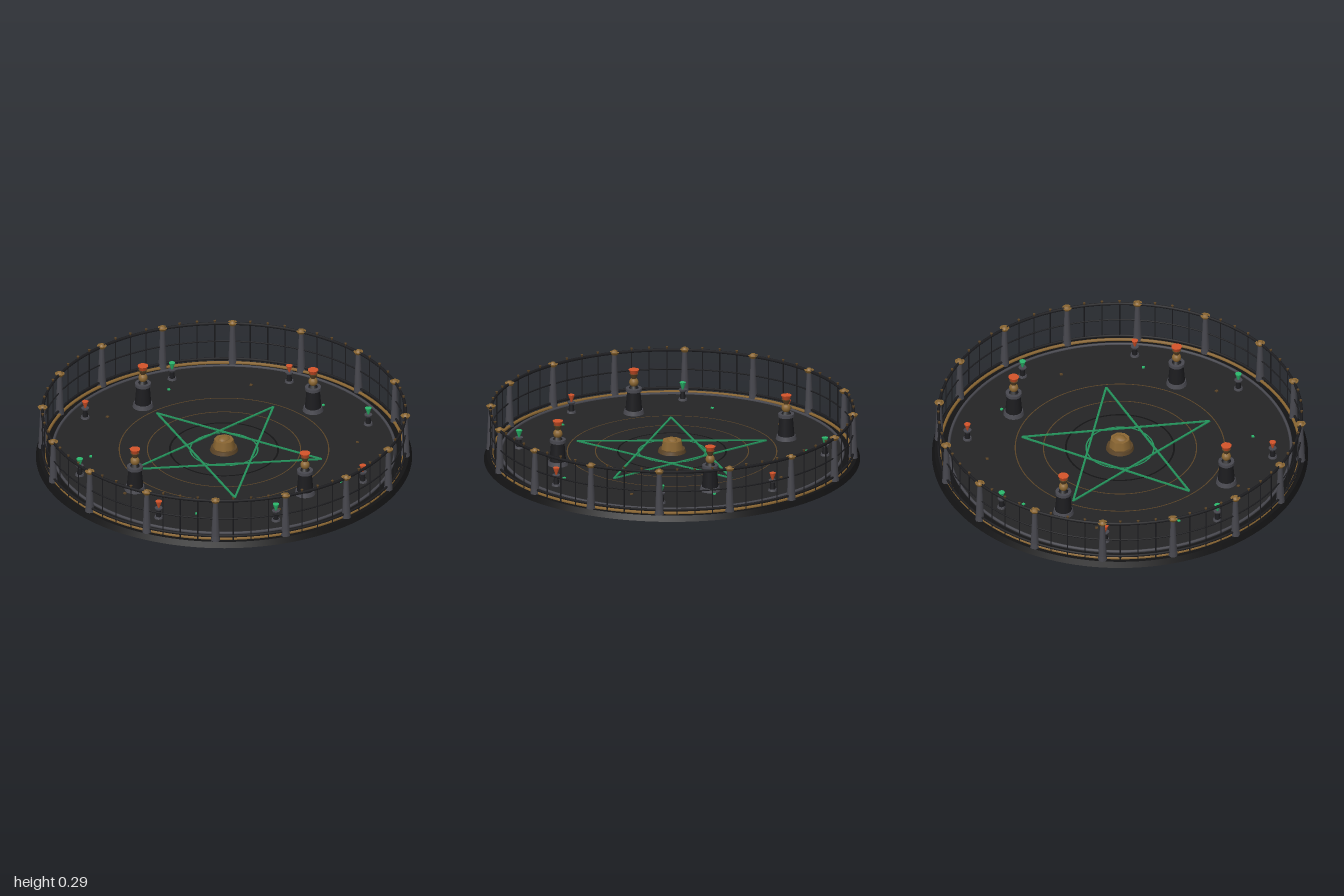
import * as THREE from 'three';

const mat = (name, color) => {
  const m = new THREE.MeshStandardMaterial({ color });
  m.name = name;
  return m;
};

export function createModel() {
  const black = mat('black stone', 0x131314);
  const stone = mat('dark floor', 0x242425);
  const iron = mat('wrought iron', 0x1c1c1f);
  const steel = mat('grey steel', 0x48484f);
  const brass = mat('aged brass', 0x8a6632);
  const bronze = mat('dull bronze', 0x5a4326);
  const orange = mat('orange fire', 0xd4532a);
  const green = mat('green inlay', 0x23905a);
  const glow = mat('green fire', 0x2bb86c);

  const FLOOR = 0.04, RAIL = 0.965;
  const root = new THREE.Group();
  root.name = 'ritualPlatform';

  const add = (parent, name, geo, material, x = 0, y = 0, z = 0) => {
    const m = new THREE.Mesh(geo, material);
    m.name = name;
    m.position.set(x, y, z);
    parent.add(m);
    return m;
  };
  // Cylinder given by its bottom and top heights
  const drum = (parent, name, rTop, rBottom, y0, y1, sides, material) =>
    add(parent, name, new THREE.CylinderGeometry(rTop, rBottom, y1 - y0, sides), material, 0, (y0 + y1) / 2, 0);
  const hoop = (name, r, tube, y, material) => {
    const m = add(root, name, new THREE.TorusGeometry(r, tube, 6, 128), material, 0, y, 0);
    m.rotation.x = Math.PI / 2;
  };
  const inlay = (name, r, width, material) => {
    const m = add(root, name, new THREE.RingGeometry(r - width / 2, r + width / 2, 96), material, 0, FLOOR + 0.002, 0);
    m.rotation.x = -Math.PI / 2;
  };
  // Places a group on a circle, turned to face outward
  const spot = (name, r, a) => {
    const g = new THREE.Group();
    g.name = name;
    g.position.set(Math.cos(a) * r, 0, Math.sin(a) * r);
    g.rotation.y = -a;
    root.add(g);
    return g;
  };

  // Base and floor
  drum(root, 'plinth', 0.985, 1, 0, 0.03, 128, black);
  drum(root, 'floor', 0.915, 0.915, 0.03, FLOOR, 128, stone);
  hoop('steelTrim', 0.91, 0.008, 0.041, steel);
  hoop('brassTrim', 0.957, 0.009, 0.034, brass);

  // Floor inlays
  inlay('outerBrassRing', 0.557, 0.006, bronze);
  inlay('innerBrassRing', 0.407, 0.006, bronze);
  inlay('blackRing', 0.288, 0.01, black);
  inlay('greenRing', 0.18, 0.008, green);
  const tip = (i) => {
    const a = -Math.PI / 2 + (i * 2 * Math.PI) / 5;
    return new THREE.Vector2(Math.cos(a) * 0.53, Math.sin(a) * 0.53);
  };
  for (let i = 0; i < 5; i++) {
    const a = tip(i), b = tip(i + 2), d = b.clone().sub(a);
    const line = add(root, 'starLine', new THREE.BoxGeometry(d.length(), 0.006, 0.011), green,
      (a.x + b.x) / 2, FLOOR + 0.003, (a.y + b.y) / 2);
    line.rotation.y = -Math.atan2(d.y, d.x);
  }
  for (let i = 0; i < 10; i++) {
    const g = spot('floorStud', 0.713, (i * Math.PI) / 5);
    add(g, 'stud', new THREE.BoxGeometry(0.014, 0.006, 0.014), i % 2 ? bronze : glow, 0, FLOOR + 0.003, 0);
  }

  // Central altar
  const altar = spot('altar', 0, 0);
  drum(altar, 'altarFoot', 0.07, 0.076, FLOOR, 0.058, 16, bronze);
  drum(altar, 'altarDrum', 0.052, 0.06, 0.058, 0.105, 8, brass);
  const dome = add(altar, 'altarDome', new THREE.SphereGeometry(0.04, 10, 6), brass, 0, 0.1, 0);
  dome.scale.set(1, 0.5, 0.7);

  // Railing hoops, posts and bars
  hoop('bottomRail', RAIL, 0.007, 0.054, iron);
  hoop('middleRail', RAIL, 0.004, 0.16, iron);
  hoop('topRail', RAIL, 0.008, 0.268, iron);
  for (let i = 0; i < 64; i++) {
    const a = (i / 64) * Math.PI * 2;
    if (i % 4 === 0) {
      const post = spot('railPost', RAIL, a);
      drum(post, 'postFoot', 0.022, 0.025, 0.03, 0.06, 8, steel);
      drum(post, 'postShaft', 0.013, 0.022, 0.06, 0.26, 8, steel);
      drum(post, 'postCap', 0.027, 0.018, 0.26, 0.274, 8, brass);
      drum(post, 'postKnob', 0.01, 0.018, 0.274, 0.284, 8, brass);
    } else {
      const bar = spot('railBar', RAIL, a);
      drum(bar, 'bar', 0.0032, 0.0032, 0.03, 0.27, 6, iron);
      drum(bar, 'barTip', 0.008, 0.002, 0.27, 0.287, 6, bronze);
    }
  }

  // Four tall braziers
  for (let i = 0; i < 4; i++) {
    const g = spot('brazier', 0.64, (i * Math.PI) / 2);
    drum(g, 'foot', 0.05, 0.056, FLOOR, 0.062, 16, steel);
    drum(g, 'column', 0.036, 0.045, 0.062, 0.165, 12, iron);
    drum(g, 'collar', 0.043, 0.043, 0.165, 0.182, 16, steel);
    drum(g, 'neck', 0.014, 0.026, 0.182, 0.2, 10, iron);
    add(g, 'orb', new THREE.SphereGeometry(0.025, 14, 10), brass, 0, 0.214, 0);
    drum(g, 'cup', 0.024, 0.012, 0.235, 0.262, 10, bronze);
    drum(g, 'fire', 0.029, 0.018, 0.262, 0.286, 10, orange);
  }

  // Eight small lamps, fire colours alternating
  for (let i = 0; i < 8; i++) {
    const g = spot('lamp', 0.815, Math.PI / 8 + (i * Math.PI) / 4);
    drum(g, 'lampFoot', 0.022, 0.025, FLOOR, 0.05, 10, steel);
    drum(g, 'lampStem', 0.011, 0.016, 0.05, 0.09, 8, iron);
    drum(g, 'lampDish', 0.022, 0.018, 0.09, 0.1, 10, steel);
    drum(g, 'lampFire', 0.018, 0.004, 0.1, 0.14, 8, i % 2 ? orange : glow);
  }

  return root;
}
